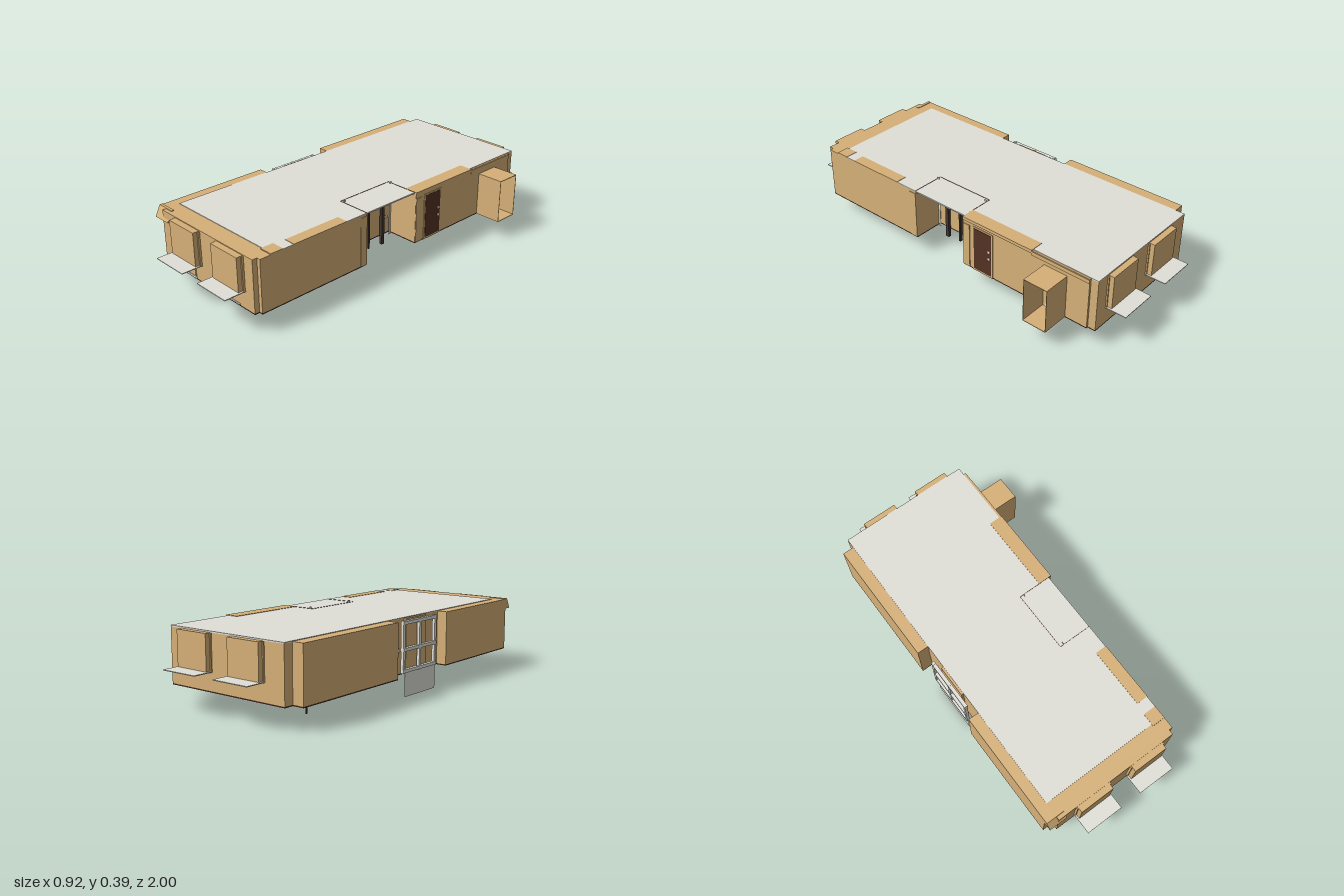
import * as THREE from 'three';

const mat = (name, hex) => {
  const m = new THREE.MeshStandardMaterial({ color: hex, side: THREE.DoubleSide });
  m.name = name;
  return m;
};

export function createModel() {
  const g = new THREE.Group();
  g.name = 'building';
  const tan = mat('tan wall', 0xd6b077);
  const grey = mat('pale grey', 0xe0dfd7);
  const underside = mat('underside brown', 0xb09c8a);
  const doorBrown = mat('door brown', 0x543224);
  const postBrown = mat('post brown', 0x40362f);

  const add = (name, geo, m) => {
    const mesh = new THREE.Mesh(geo, m);
    mesh.name = name;
    g.add(mesh);
    return mesh;
  };
  // box given by its lower and upper limits on each axis
  const box = (name, m, x0, x1, y0, y1, z0, z1) => {
    const mesh = add(name, new THREE.BoxGeometry(x1 - x0, y1 - y0, z1 - z0), m);
    mesh.position.set((x0 + x1) / 2, (y0 + y1) / 2, (z0 + z1) / 2);
    return mesh;
  };
  // plan outline of [x, z] points raised from y0 to y1
  const prism = (name, m, pts, y0, y1) => {
    const shape = new THREE.Shape(pts.map(([x, z]) => new THREE.Vector2(x, -z)));
    const geo = new THREE.ExtrudeGeometry(shape, { depth: y1 - y0, bevelEnabled: false });
    geo.rotateX(-Math.PI / 2).translate(0, y0, 0);
    return add(name, geo, m);
  };
  // side outline of [z, y] points run along x from x0 to x1
  const sidePrism = (name, m, pts, x0, x1) => {
    const shape = new THREE.Shape(pts.map(([z, y]) => new THREE.Vector2(-z, y)));
    const geo = new THREE.ExtrudeGeometry(shape, { depth: x1 - x0, bevelEnabled: false });
    geo.rotateY(Math.PI / 2).translate(x0, 0, 0);
    return add(name, geo, m);
  };

  // Walls and floor share one plan, with a porch recess on each long side
  const plan = [
    [-0.455, 0.85], [-0.4, 0.85], [-0.4, 0.886], [0.28, 0.886], [0.28, 0.86], [0.3, 0.86],
    [0.3, 0.22], [0.13, 0.22], [0.13, -0.11], [0.31, -0.11], [0.31, -0.85], [0.3, -0.85],
    [0.3, -0.89], [-0.4, -0.89], [-0.4, -0.84], [-0.46, -0.84], [-0.46, -0.17],
    [-0.4, -0.17], [-0.4, 0.25], [-0.455, 0.25],
  ];
  prism('walls', tan, plan, 0.113, 0.382);
  prism('floor', [underside, doorBrown], plan, 0.107, 0.113);

  // Roof and the tan parapet pieces on it
  box('roof', grey, -0.4, 0.3, 0.378, 0.385, -0.89, 0.79);
  box('parapetFront', tan, 0.24, 0.302, 0.37, 0.387, 0.35, 0.67);
  box('parapetCorner', tan, 0.23, 0.3, 0.37, 0.387, 0.73, 0.8);
  box('parapetBack', tan, 0.24, 0.314, 0.37, 0.387, -0.53, -0.11);
  box('fascia', tan, 0.3, 0.314, 0.36, 0.38, -0.85, -0.53);
  box('frontWallTrim', tan, 0.3, 0.303, 0.113, 0.37, 0.22, 0.26);

  // Fine brown seam around the porch roof, and pale strips at the recess ends
  box('porchSeamInner', doorBrown, 0.12, 0.1215, 0.38, 0.3865, -0.11, 0.22);
  for (const z of [-0.11, 0.22]) {
    box('porchSeamSide', doorBrown, 0.12, 0.3, 0.38, 0.3865, z - 0.0008, z + 0.0008);
  }
  for (const z of [-0.103, 0.213]) {
    box('porchEdgeStrip', grey, 0.14, 0.142, 0.1, 0.394, z - 0.006, z + 0.006);
  }

  // Porch posts and crossbeam
  for (const [z, w, y0] of [[0.148, 0.02, 0.07], [0.06, 0.01, 0.08], [-0.04, 0.018, 0.07]]) {
    box('porchPost', postBrown, 0.14, 0.156, y0, 0.382, z - w / 2, z + w / 2);
  }
  box('porchBeam', postBrown, 0.14, 0.156, 0.342, 0.358, -0.058, 0.168);
  box('porchLatch', grey, 0.14, 0.15, 0.206, 0.216, -0.08, -0.05);

  // Side door with frame and handle plates
  box('doorFrame', tan, 0.305, 0.313, 0.107, 0.358, -0.298, -0.172);
  box('door', doorBrown, 0.306, 0.3145, 0.117, 0.35, -0.289, -0.18);
  for (const y of [0.215, 0.255]) box('doorHandle', grey, 0.31, 0.317, y - 0.006, y + 0.006, -0.282, -0.27);
  box('wallTrim', tan, 0.31, 0.314, 0.113, 0.352, -0.152, -0.112);

  // Side annex, open on its outer side, with a pale panel inside
  box('annexTop', tan, 0.305, 0.455, 0.337, 0.34, -0.73, -0.6);
  box('annexBase', tan, 0.305, 0.455, 0.108, 0.111, -0.73, -0.6);
  box('annexFrontWall', tan, 0.305, 0.455, 0.108, 0.34, -0.602, -0.6);
  box('annexBackWall', tan, 0.305, 0.455, 0.108, 0.34, -0.73, -0.728);
  sidePrism('annexPanel', grey, [[-0.61, 0.112], [-0.728, 0.112], [-0.728, 0.28]], 0.31, 0.312);

  // Bay windows with projecting sills on both ends
  for (const [s, shift] of [[1, 0], [-1, 0.012]]) {
    for (const x of [-0.2, 0.12]) {
      const c = x + shift;
      const slab = (name, m, w, y0, y1, a, b) =>
        box(name, m, c - w / 2, c + w / 2, y0, y1, Math.min(s * a, s * b), Math.max(s * a, s * b));
      slab('bay', tan, 0.187, 0.205, 0.378, 0.88, 0.92);
      slab('sill', grey, 0.204, 0.2, 0.204, 0.88, 1.0);
      for (const e of [-1, 1]) {
        const t = c + e * 0.097;
        box('baySideTrim', tan, t - 0.003, t + 0.003, 0.204, 0.376, s > 0 ? 0.88 : -0.897, s > 0 ? 0.897 : -0.88);
      }
    }
  }

  // Grey rails under the front sills
  for (const [x0, x1, post] of [[-0.275, -0.15, -0.158], [0.055, 0.178, 0.061]]) {
    for (const y of [0.117, 0.182]) box('frontRail', grey, x0, x1, y - 0.004, y + 0.004, 0.884, 0.889);
    box('frontRailPost', grey, post - 0.004, post + 0.004, 0.108, 0.19, 0.884, 0.89);
  }

  // Sloping flap over the notched front corner
  sidePrism('cornerFlap', tan, [[0.85, 0.33], [0.893, 0.33], [0.865, 0.385], [0.85, 0.385]], -0.455, -0.355);

  // Grey lattice frame, backing and hanging plate on the recessed side
  for (const z of [-0.085, 0.05, 0.182]) box('latticePost', grey, -0.435, -0.42, 0.12, 0.375, z - 0.008, z + 0.008);
  for (const y of [0.13, 0.235, 0.365]) box('latticeRail', grey, -0.437, -0.418, y - 0.008, y + 0.008, -0.093, 0.19);
  for (const z of [-0.1, 0.115]) box('latticeBracket', grey, -0.42, -0.395, 0.225, 0.24, z - 0.006, z + 0.006);
  box('latticeBacking', tan, -0.412, -0.398, 0.113, 0.38, -0.04, 0.13);
  box('hangingPlate', grey, -0.4285, -0.428, 0, 0.125, -0.07, 0.19);

  // Small peg under the back corner
  box('cornerPeg', postBrown, -0.455, -0.451, 0.078, 0.11, -0.818, -0.812);

  return g;
}
